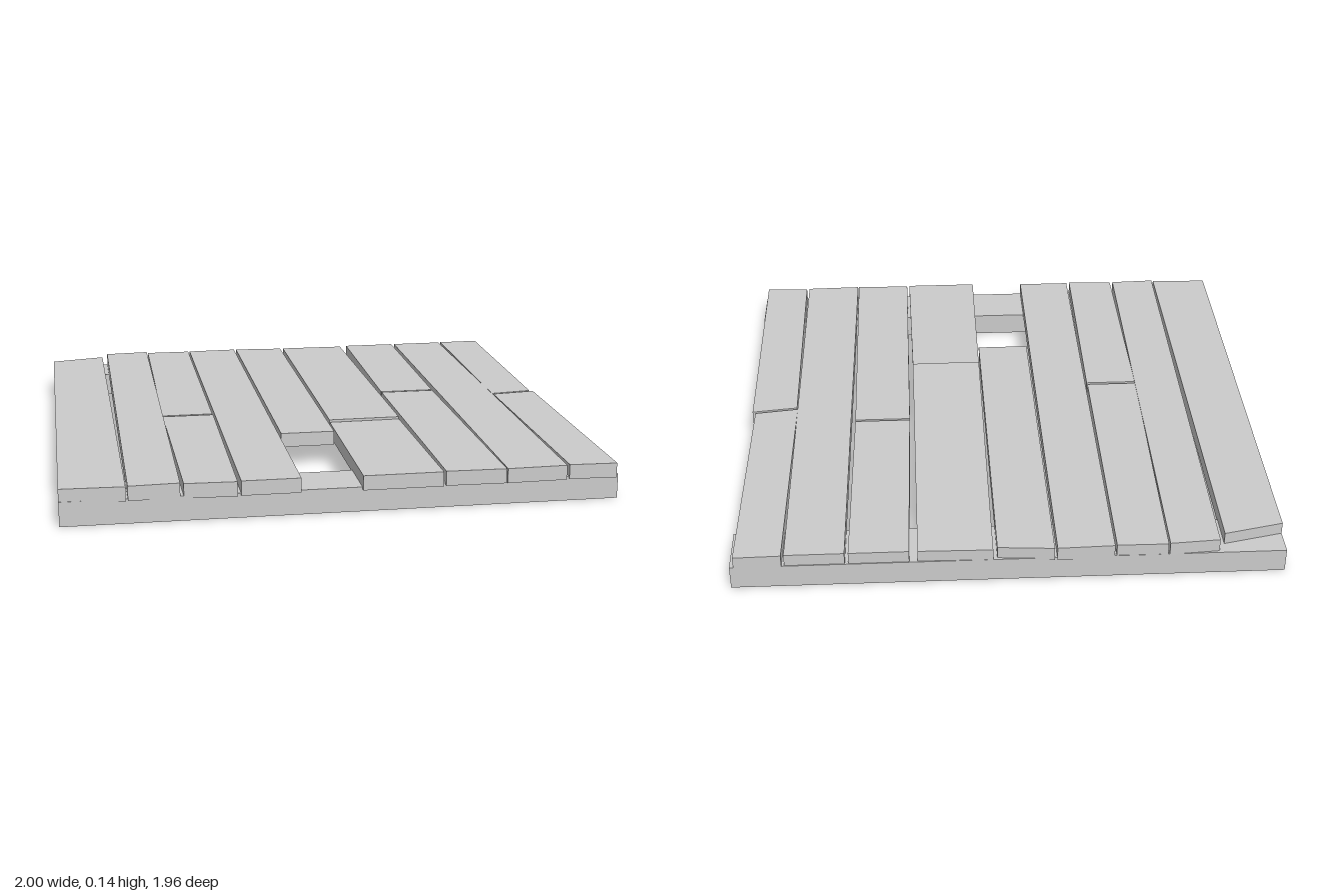
import * as THREE from 'three';

const material = new THREE.MeshStandardMaterial({ color: 0xcccccc, flatShading: true });

// A board from its back edge [xLeft, zLeft, xRight, zRight], its front edge, and top heights at both ends.
function board(name, back, front, topBack = 0.136, topFront = topBack, thickness = 0.054) {
  const geometry = new THREE.BoxGeometry(1, 1, 1);
  const p = geometry.attributes.position;
  for (let i = 0; i < p.count; i++) {
    const atBack = p.getZ(i) < 0;
    const edge = atBack ? back : front;
    const k = p.getX(i) < 0 ? 0 : 2;
    const top = atBack ? topBack : topFront;
    p.setXYZ(i, edge[k], p.getY(i) > 0 ? top : top - thickness, edge[k + 1]);
  }
  geometry.computeVertexNormals();
  const mesh = new THREE.Mesh(geometry, material);
  mesh.name = name;
  return mesh;
}

export function createModel() {
  const group = new THREE.Group();
  group.name = 'plankPlatform';

  // Two support beams under the ends of the planks
  for (const [name, z0, z1] of [['frontBeam', 0.765, 0.96], ['backBeam', -0.975, -0.78]]) {
    const beam = new THREE.Mesh(new THREE.BoxGeometry(2, 0.09, z1 - z0), material);
    beam.position.set(0, 0.045, (z0 + z1) / 2);
    beam.name = name;
    group.add(beam);
  }

  // Worn planks, whole and broken, running from back to front
  const planks = [
    [[-1, -0.875, -0.78, -0.925], [-1, 0.957, -0.77, 0.965]],
    [[-0.757, -0.965, -0.575, -0.977], [-0.763, 0.967, -0.582, 0.96], 0.14, 0.138],
    [[-0.57, -0.975, -0.384, -0.973], [-0.58, 0.098, -0.382, 0.098]],
    [[-0.58, 0.11, -0.38, 0.11], [-0.57, 0.963, -0.383, 0.97]],
    [[-0.377, -0.975, -0.17, -0.98], [-0.37, 0.965, -0.158, 0.965]],
    [[-0.16, -0.98, 0.045, -0.965], [-0.15, 0.415, 0.055, 0.415]],
    [[0.06, -0.975, 0.33, -0.97], [0.06, 0.285, 0.338, 0.282], 0.134, 0.144],
    [[0.06, 0.292, 0.338, 0.287], [0.06, 0.975, 0.35, 0.975]],
    [[0.36, -0.972, 0.577, -0.972], [0.353, -0.13, 0.57, -0.13]],
    [[0.353, -0.12, 0.57, -0.12], [0.36, 0.97, 0.58, 0.975]],
    [[0.59, -0.972, 0.805, -0.972], [0.584, 0.975, 0.805, 0.97]],
    [[0.815, -0.975, 0.985, -0.978], [0.805, -0.03, 0.973, -0.052]],
    [[0.808, -0.02, 0.985, -0.042], [0.816, 0.965, 0.99, 0.972]],
  ];
  planks.forEach((p, i) => group.add(board(`plank${i + 1}`, ...p)));

  return group;
}
